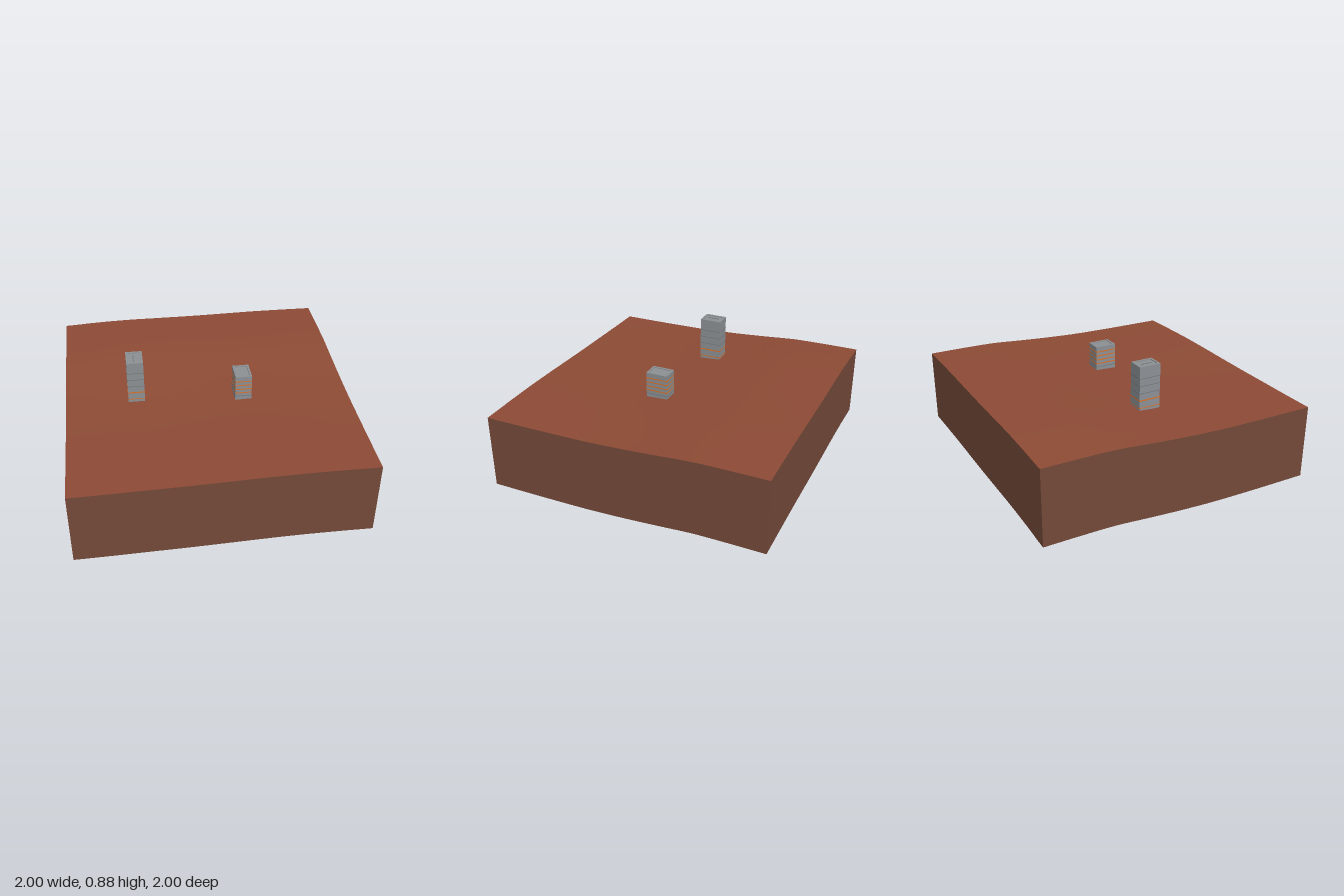
import * as THREE from 'three';

const paint = (name, color, side = THREE.FrontSide) => {
  const m = new THREE.MeshStandardMaterial({ color, side });
  m.name = name;
  return m;
};

// Smooth curve through evenly spaced samples running from -1 to 1
function profile(values) {
  const pts = values.map((v, i) => new THREE.Vector2(-1 + (2 * i) / (values.length - 1), v));
  const curve = new THREE.SplineCurve(pts);
  return (t) => curve.getPoint((t + 1) / 2).y;
}

// Ground height: front and back edge profiles blended by a slope along z
const frontEdge = profile([0.534, 0.536, 0.54, 0.544, 0.55, 0.557, 0.561, 0.56, 0.556]);
const backEdge = profile([0.604, 0.616, 0.622, 0.621, 0.62, 0.622, 0.625, 0.624, 0.621]);
const slope = profile([1, 0.98, 0.9, 0.6, 0.33, 0.14, 0.06, 0.02, 0]);
const height = (x, z) => THREE.MathUtils.lerp(frontEdge(x), backEdge(x), slope(z));

export function createModel() {
  const soil = paint('red soil', 0x8d4b35, THREE.DoubleSide);
  const earth = paint('cut earth', 0x74493a, THREE.DoubleSide);
  const concrete = paint('grey concrete', 0x8c9094);
  const joint = paint('dark grey joint', 0x70767b);
  const orange = paint('orange band', 0xd9702a);

  const model = new THREE.Group();
  model.name = 'terrainTile';
  const add = (parent, name, geometry, material, x = 0, y = 0, z = 0) => {
    const mesh = new THREE.Mesh(geometry, material);
    mesh.name = name;
    mesh.position.set(x, y, z);
    parent.add(mesh);
    return mesh;
  };

  // Rolling ground surface
  const ground = new THREE.PlaneGeometry(2, 2, 40, 40).rotateX(-Math.PI / 2);
  const p = ground.attributes.position;
  for (let i = 0; i < p.count; i++) p.setY(i, height(p.getX(i), p.getZ(i)));
  ground.computeVertexNormals();
  add(model, 'ground', ground, soil);

  // Four hanging skirt walls whose lower rim follows the ground
  const depth = 0.534;
  ['front', 'left', 'back', 'right'].forEach((side, k) => {
    const wall = new THREE.PlaneGeometry(2, 1, 40, 1);
    wall.translate(0, 0, 1).rotateY((k * Math.PI) / 2);
    const w = wall.attributes.position;
    for (let i = 0; i < w.count; i++) {
      const top = height(w.getX(i), w.getZ(i));
      w.setY(i, w.getY(i) > 0 ? top : top - depth);
    }
    wall.computeVertexNormals();
    add(model, side + 'Skirt', wall, earth);
  });

  // Block tower with floor bands and a low roof parapet
  function tower(name, x, z, bottom, top, bands) {
    const group = new THREE.Group();
    group.name = name;
    group.position.set(x, 0, z);
    const w = 0.116, d = 0.156, rim = 0.006;
    add(group, 'walls', new THREE.BoxGeometry(w, top - rim - bottom, d), concrete, 0, (top - rim + bottom) / 2);

    for (const [y, thick, material] of bands) {
      add(group, 'floorBand', new THREE.BoxGeometry(w + 0.002, thick, d + 0.002), material, 0, y);
    }

    const outline = new THREE.Shape([[-1, -1], [1, -1], [1, 1], [-1, 1]]
      .map(([a, b]) => new THREE.Vector2(a * w / 2, b * d / 2)));
    outline.holes.push(new THREE.Path([[-1, -1], [-1, 1], [1, 1], [1, -1]]
      .map(([a, b]) => new THREE.Vector2(a * (w / 2 - 0.015), b * (d / 2 - 0.015)))));
    const parapet = new THREE.ExtrudeGeometry(outline, { depth: rim, bevelEnabled: false });
    add(group, 'parapet', parapet.rotateX(-Math.PI / 2), concrete, 0, top - rim);
    model.add(group);
    return group;
  }

  const tall = tower('tallTower', -0.502, 0, 0.564, 0.882, [
    [0.588, 0.006, orange], [0.641, 0.009, orange],
    [0.692, 0.004, joint], [0.745, 0.004, joint], [0.798, 0.004, joint],
  ]);
  // Narrow roof slot
  add(tall, 'roofSlot', new THREE.BoxGeometry(0.006, 0.004, 0.08), joint, -0.006, 0.877);

  tower('shortTower', 0.247, 0.08, 0.568, 0.756, [
    [0.6, 0.004, joint],
    ...[0.626, 0.656, 0.687, 0.718].map((y) => [y, 0.008, orange]),
  ]);

  return model;
}
